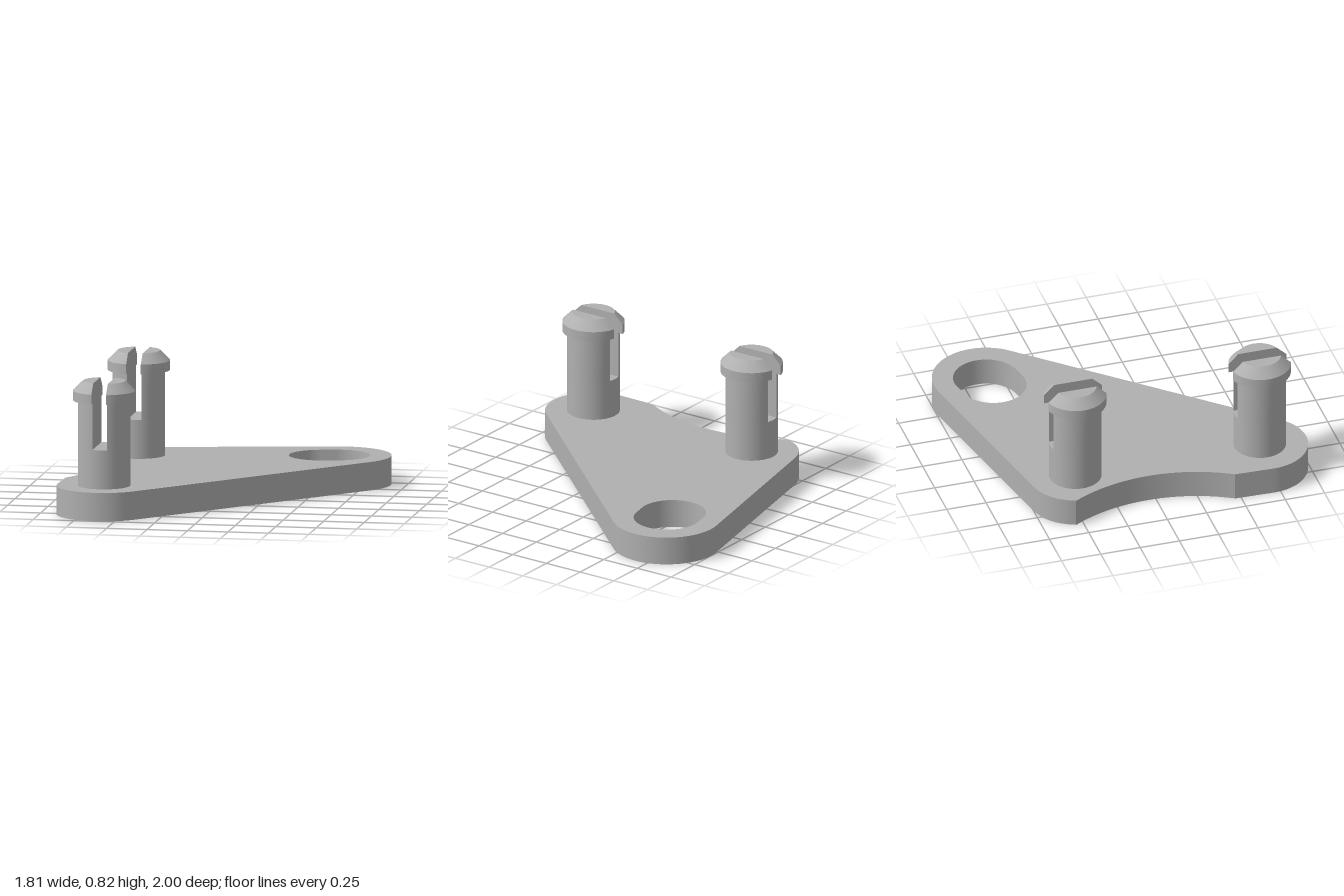
import * as THREE from 'three';
import { toCreasedNormals } from 'three/addons/utils/BufferGeometryUtils.js';

const PLATE_TOP = 0.175, SLOT_FLOOR = 0.415, SLOT_HALF = 0.045, SHAFT_R = 0.16;

// Outward normal angle of the outer tangent from circle a to circle b (counterclockwise outline)
function tangentAngle(a, b) {
  const dx = b.x - a.x, dy = b.y - a.y;
  return Math.atan2(dy, dx) - Math.acos((a.r - b.r) / Math.hypot(dx, dy));
}

// Plate: three rounded corners, a concave side and a slotted hole; shape y is -z
function plateGeometry() {
  const front = { x: -0.615, y: -0.71, r: 0.29 };
  const eye = { x: 0.575, y: 0.67, r: 0.33 };
  const back = { x: -0.615, y: 0.465, r: 0.29 };
  const t1 = tangentAngle(front, eye), t2 = tangentAngle(eye, back);
  const deg = Math.PI / 180;

  const shape = new THREE.Shape();
  shape.absarc(front.x, front.y, front.r, Math.PI, t1, false);
  shape.absarc(eye.x, eye.y, eye.r, t1, t2, false);
  shape.absarc(back.x, back.y, back.r, t2, 163 * deg, false);
  shape.absarc(-1.76, 0.045, 1, 30.2 * deg, -30.5 * deg, true);
  shape.closePath();

  // Slotted hole
  const a = { x: 0.485, y: 0.652, r: 0.203 }, b = { x: 0.57, y: 0.67, r: 0.203 };
  const n = tangentAngle(a, b);
  const hole = new THREE.Path();
  hole.absarc(b.x, b.y, b.r, n, n + Math.PI, false);
  hole.absarc(a.x, a.y, a.r, n + Math.PI, n + 2 * Math.PI, false);
  hole.closePath();
  shape.holes.push(hole);

  const geo = new THREE.ExtrudeGeometry(shape, { depth: PLATE_TOP, bevelEnabled: false, curveSegments: 40 });
  geo.rotateX(-Math.PI / 2);
  return toCreasedNormals(geo, 0.35);
}

// One prong of the split peg: circular segments on the +x side of the slot, stacked upwards
function prongGeometry() {
  const levels = [[SLOT_FLOOR, SHAFT_R], [0.7, SHAFT_R], [0.7, 0.19], [0.76, 0.19], [0.82, 0.13]];
  const steps = 28, count = steps + 1, pos = [];
  const rings = levels.map(([y, r]) => {
    const half = Math.acos(SLOT_HALF / r);
    return Array.from({ length: count }, (_, i) => {
      const t = -half + (2 * half * i) / steps;
      return [r * Math.cos(t), y, -r * Math.sin(t)];
    });
  });
  for (let k = 0; k < rings.length - 1; k++) {
    const lo = rings[k], hi = rings[k + 1];
    for (let i = 0; i < count; i++) {
      const j = (i + 1) % count;
      pos.push(...lo[i], ...lo[j], ...hi[j], ...lo[i], ...hi[j], ...hi[i]);
    }
  }
  const top = rings[rings.length - 1];
  for (let i = 1; i < steps; i++) pos.push(...top[0], ...top[i], ...top[i + 1]);

  const geo = new THREE.BufferGeometry();
  geo.setAttribute('position', new THREE.Float32BufferAttribute(pos, 3));
  return toCreasedNormals(geo, 0.5);
}

export function createModel() {
  const grey = new THREE.MeshStandardMaterial({ color: 0xb0b0b0 });
  grey.name = 'grey';
  const model = new THREE.Group();
  model.name = 'splitPegBracket';

  const add = (parent, geo, name) => {
    const mesh = new THREE.Mesh(geo, grey);
    mesh.name = name;
    parent.add(mesh);
    return mesh;
  };

  add(model, plateGeometry(), 'plate');

  // Two identical split pegs
  const shaftBase = PLATE_TOP - 0.005;
  const shaft = new THREE.CylinderGeometry(SHAFT_R, SHAFT_R, SLOT_FLOOR - shaftBase, 56);
  shaft.translate(0, (SLOT_FLOOR + shaftBase) / 2, 0);
  const prong = prongGeometry();
  for (const [name, z] of [['frontPeg', 0.705], ['backPeg', -0.468]]) {
    const peg = new THREE.Group();
    peg.name = name;
    peg.position.set(-0.615, 0, z);
    add(peg, shaft, 'pegShaft');
    add(peg, prong, 'leftProng');
    add(peg, prong, 'rightProng').rotation.y = Math.PI;
    model.add(peg);
  }
  return model;
}
